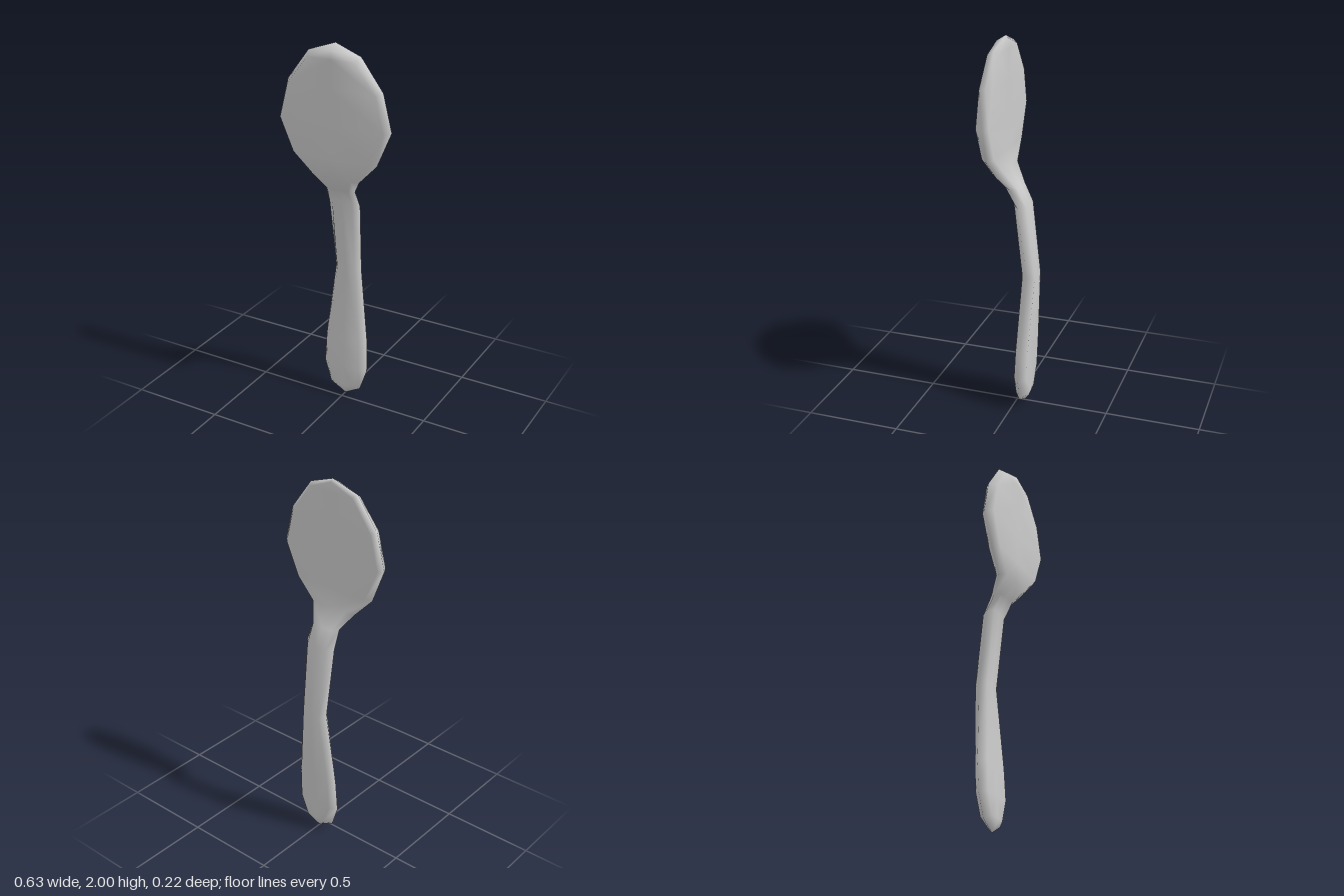
import * as THREE from 'three';
import { mergeVertices } from 'three/addons/utils/BufferGeometryUtils.js';

// Cross-sections from handle end to bowl tip:
// [edge y, half width, edge z, face half width, front y, front z, back y, back z]
const stations = [
  [0.00, 0.000, -0.04, 0.000, 0.03, -0.02, 0.03, -0.065],
  [0.05, 0.090, -0.04, 0.055, 0.07, -0.01, 0.07, -0.075],
  [0.17, 0.130, -0.045, 0.095, 0.18, -0.012, 0.18, -0.08],
  [0.34, 0.125, -0.055, 0.092, 0.34, -0.02, 0.34, -0.087],
  [0.76, 0.076, -0.075, 0.052, 0.76, -0.043, 0.75, -0.11],
  [1.14, 0.090, -0.03, 0.058, 1.16, 0.00, 1.14, -0.065],
  [1.235, 0.085, 0.015, 0.060, 1.24, 0.045, 1.235, -0.02],
  [1.31, 0.135, 0.065, 0.105, 1.32, 0.098, 1.33, 0.035],
  [1.42, 0.240, 0.078, 0.215, 1.43, 0.112, 1.43, 0.048],
  [1.60, 0.313, 0.07, 0.288, 1.60, 0.114, 1.60, 0.047],
  [1.79, 0.265, 0.07, 0.243, 1.78, 0.112, 1.78, 0.046],
  [1.95, 0.145, 0.07, 0.130, 1.925, 0.110, 1.935, 0.046],
  [2.00, 0.000, 0.06, 0.000, 1.97, 0.108, 1.985, 0.046],
];

// Joins the eight-sided sections into one closed smooth skin
function loft(rows) {
  const pos = [], index = [], n = 8;
  for (const [y, w, z, f, fy, fz, by, bz] of rows) {
    const ring = [[w, y, z], [f, fy, fz], [0, fy, fz], [-f, fy, fz],
      [-w, y, z], [-f, by, bz], [0, by, bz], [f, by, bz]];
    ring.forEach((p) => pos.push(...p));
  }
  for (let i = 0; i < rows.length - 1; i++) {
    for (let j = 0; j < n; j++) {
      const a = i * n + j, b = i * n + (j + 1) % n, c = a + n, d = b + n;
      // mirror the diagonals about the centre plane
      if (j === 0 || j === 1 || j > 5) index.push(a, d, b, a, c, d);
      else index.push(a, c, b, b, c, d);
    }
  }
  const geo = new THREE.BufferGeometry();
  geo.setAttribute('position', new THREE.Float32BufferAttribute(pos, 3));
  geo.setIndex(index);
  // reverse every triangle so the faces point outward
  const idx = geo.index;
  const v = (k) => new THREE.Vector3().fromBufferAttribute(geo.attributes.position, idx.getX(k));
  const probe = 3 * (4 * n * 2 + 2); // a triangle on the front of the handle
  const normal = new THREE.Triangle(v(probe), v(probe + 1), v(probe + 2)).getNormal(new THREE.Vector3());
  if (normal.z < 0) {
    for (let k = 0; k < idx.count; k += 3) {
      const t = idx.getX(k);
      idx.setX(k, idx.getX(k + 1));
      idx.setX(k + 1, t);
    }
  }
  const merged = mergeVertices(geo, 1e-4);
  merged.computeVertexNormals();
  return merged;
}

export function createModel() {
  const group = new THREE.Group();
  group.name = 'spoon';
  const metal = new THREE.MeshStandardMaterial({ color: 0xcccccc });
  metal.name = 'light grey metal';

  // Handle, neck and bowl in one continuous skin
  const body = new THREE.Mesh(loft(stations), metal);
  body.name = 'handleAndBowl';
  group.add(body);
  return group;
}
